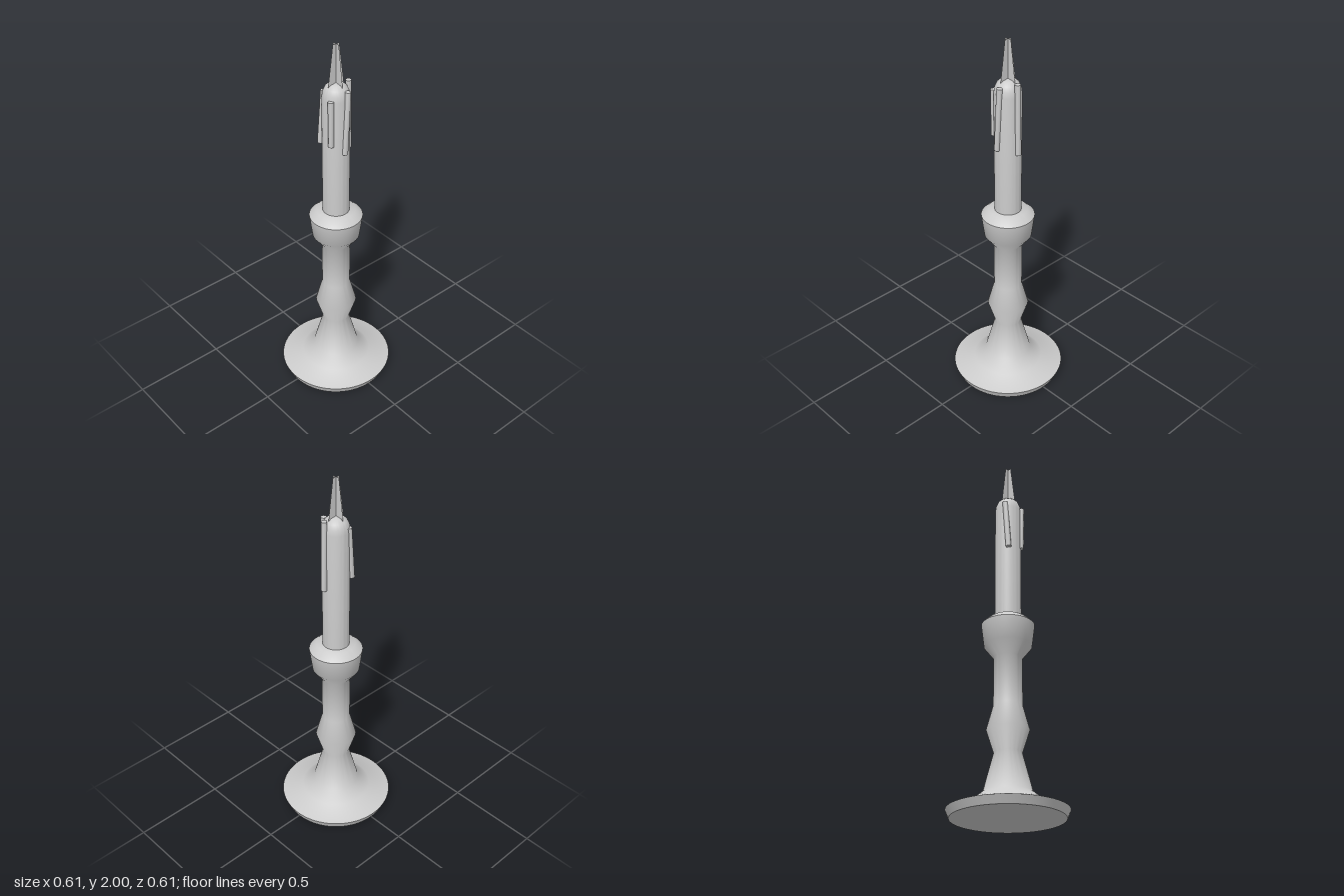
import * as THREE from 'three';
import { toCreasedNormals } from 'three/addons/utils/BufferGeometryUtils.js';

const material = new THREE.MeshStandardMaterial({ color: 0xcccccc });
const thin = new THREE.MeshStandardMaterial({ color: 0xcccccc, side: THREE.DoubleSide });

function part(name, geometry, mat = material) {
  const mesh = new THREE.Mesh(geometry, mat);
  mesh.name = name;
  return mesh;
}

// Turned solid from [radius, height] pairs, keeping only hard rims sharp
function turned(name, profile) {
  const points = profile.map(([r, y]) => new THREE.Vector2(r, y));
  return part(name, toCreasedNormals(new THREE.LatheGeometry(points, 64), 0.8));
}

// Thin wax run between two points
function drip(top, bottom) {
  const a = new THREE.Vector3(...top);
  const b = new THREE.Vector3(...bottom);
  const axis = a.clone().sub(b);
  const geometry = new THREE.CylinderGeometry(0.015, 0.015, axis.length(), 8);
  const mesh = part('waxDrip', toCreasedNormals(geometry, 0.9));
  mesh.position.copy(a).add(b).multiplyScalar(0.5);
  mesh.quaternion.setFromUnitVectors(new THREE.Vector3(0, 1, 0), axis.normalize());
  return mesh;
}

export function createModel() {
  const model = new THREE.Group();
  model.name = 'candlestick';

  // Holder with a dished foot, knop and cup
  model.add(turned('holder', [
    [0, 0], [0.287, 0], [0.305, 0.042], [0.19, 0.078], [0.125, 0.13],
    [0.072, 0.33], [0.11, 0.45], [0.075, 0.58], [0.075, 0.84],
    [0.125, 0.905], [0.14, 1.025], [0.102, 1.06], [0, 1.06],
  ]));

  // Candle with a rounded tip
  model.add(turned('candle', [
    [0, 1.05], [0.07, 1.05], [0.07, 1.72], [0.066, 1.75],
    [0.055, 1.775], [0.036, 1.792], [0, 1.797],
  ]));

  // Wax runs at the right, front, left and back of the candle
  const drips = new THREE.Group();
  drips.name = 'waxDrips';
  drips.add(
    drip([0.07, 1.77, -0.015], [0.072, 1.43, 0.003]),
    drip([0.037, 1.73, 0.064], [0.036, 1.48, 0.062]),
    drip([-0.058, 1.745, 0.03], [-0.057, 1.46, 0.054]),
    drip([0.006, 1.79, -0.073], [0.004, 1.41, -0.078]),
  );
  model.add(drips);

  // Flame made of two crossed tapering sheets
  const outline = new THREE.Shape([
    new THREE.Vector2(-0.049, 1.785), new THREE.Vector2(0.049, 1.785),
    new THREE.Vector2(0.02, 2), new THREE.Vector2(-0.02, 2),
  ]);
  const flame = new THREE.Group();
  flame.name = 'flame';
  for (const angle of [0, Math.PI / 2]) {
    const sheet = part('flameSheet', new THREE.ShapeGeometry(outline), thin);
    sheet.rotation.y = angle;
    flame.add(sheet);
  }
  model.add(flame);

  return model;
}
